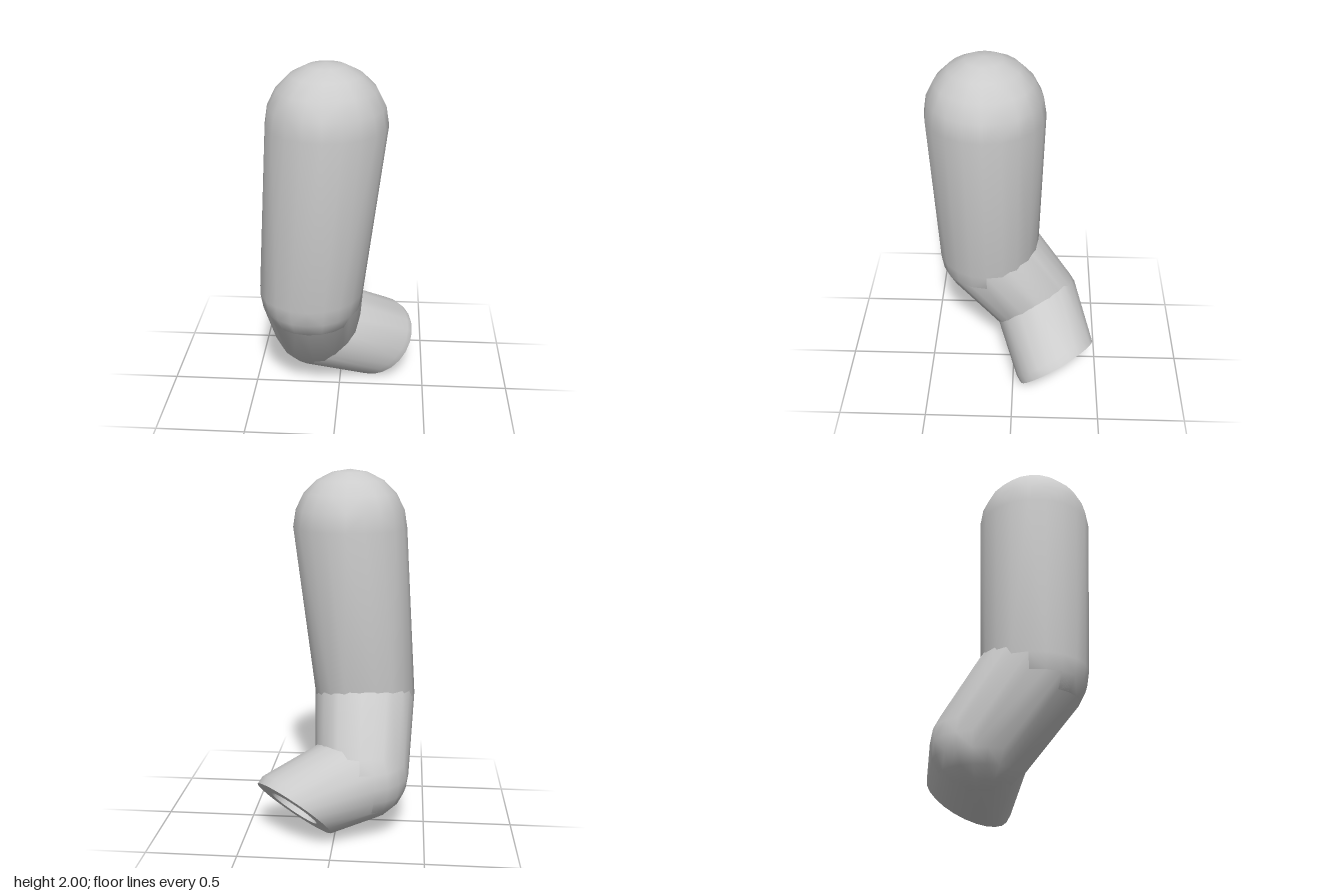
import * as THREE from 'three';
import { ConvexGeometry } from 'three/addons/geometries/ConvexGeometry.js';
import { toCreasedNormals } from 'three/addons/utils/BufferGeometryUtils.js';

const material = new THREE.MeshStandardMaterial({ color: 0xcccccc });
const openMaterial = new THREE.MeshStandardMaterial({ color: 0xcccccc, side: THREE.DoubleSide });

// Joint spheres from the tip down, and the slanted socket face
const tip = { center: new THREE.Vector3(-0.055, 1.685, 0.15), radius: 0.316 };
const knuckle = { center: new THREE.Vector3(-0.145, 0.74, 0.15), radius: 0.287 };
const bend = { center: new THREE.Vector3(-0.147, 0.35, -0.13), radius: 0.26 };
const face = {
  center: new THREE.Vector3(0.22, 0.177, -0.26),
  normal: new THREE.Vector3(0.5, -0.69, -0.52).normalize(),
  radius: 0.245, rim: 0.05, hole: 0.15, depth: 0.11,
};
const SIDES = 20;

function vertices(geometry) {
  const p = geometry.attributes.position;
  return Array.from({ length: p.count }, (_, i) => new THREE.Vector3().fromBufferAttribute(p, i));
}

function spherePoints({ center, radius }) {
  return vertices(new THREE.SphereGeometry(radius, SIDES, SIDES / 2).translate(center.x, center.y, center.z));
}

// Convex skin around a set of points, optionally left open at the socket face
function skin(name, points, open = false) {
  let geometry = new ConvexGeometry(points);
  if (open) {
    const v = vertices(geometry);
    const onFace = (q) => q.clone().sub(face.center).dot(face.normal) > -0.002;
    const kept = [];
    for (let i = 0; i < v.length; i += 3) {
      const tri = v.slice(i, i + 3);
      if (!tri.every(onFace)) kept.push(...tri);
    }
    geometry = new THREE.BufferGeometry().setFromPoints(kept);
  }
  const mesh = new THREE.Mesh(toCreasedNormals(geometry, 0.6), material);
  mesh.name = name;
  return mesh;
}

export function createModel() {
  const group = new THREE.Group();
  group.name = 'bentFinger';

  // Rounded segments between neighbouring joints
  group.add(skin('upperSegment', [...spherePoints(tip), ...spherePoints(knuckle)]));
  group.add(skin('middleSegment', [...spherePoints(knuckle), ...spherePoints(bend)]));

  // Base segment blends the bend into a short slanted disc
  const turn = new THREE.Quaternion().setFromUnitVectors(new THREE.Vector3(0, 0, 1), face.normal);
  const disc = [];
  for (let i = 0; i < 24; i++) {
    const a = (i / 24) * Math.PI * 2;
    for (const z of [0, -face.rim]) {
      disc.push(new THREE.Vector3(face.radius * Math.cos(a), face.radius * Math.sin(a), z)
        .applyQuaternion(turn).add(face.center));
    }
  }
  group.add(skin('baseSegment', [...spherePoints(bend), ...disc], true));

  // Socket: flat ring, bore wall and floor, built along +z
  const socket = new THREE.Group();
  socket.name = 'socket';
  const add = (name, geometry, mat) => {
    const mesh = new THREE.Mesh(geometry, mat);
    mesh.name = name;
    socket.add(mesh);
  };
  add('socketRing', new THREE.RingGeometry(face.hole, face.radius, 24), material);
  add('socketWall', new THREE.CylinderGeometry(face.hole, face.hole, face.depth, 24, 1, true)
    .rotateX(Math.PI / 2).translate(0, 0, -face.depth / 2), openMaterial);
  add('socketFloor', new THREE.CircleGeometry(face.hole, 24).translate(0, 0, -face.depth), material);
  socket.position.copy(face.center);
  socket.quaternion.copy(turn);
  group.add(socket);

  return group;
}
